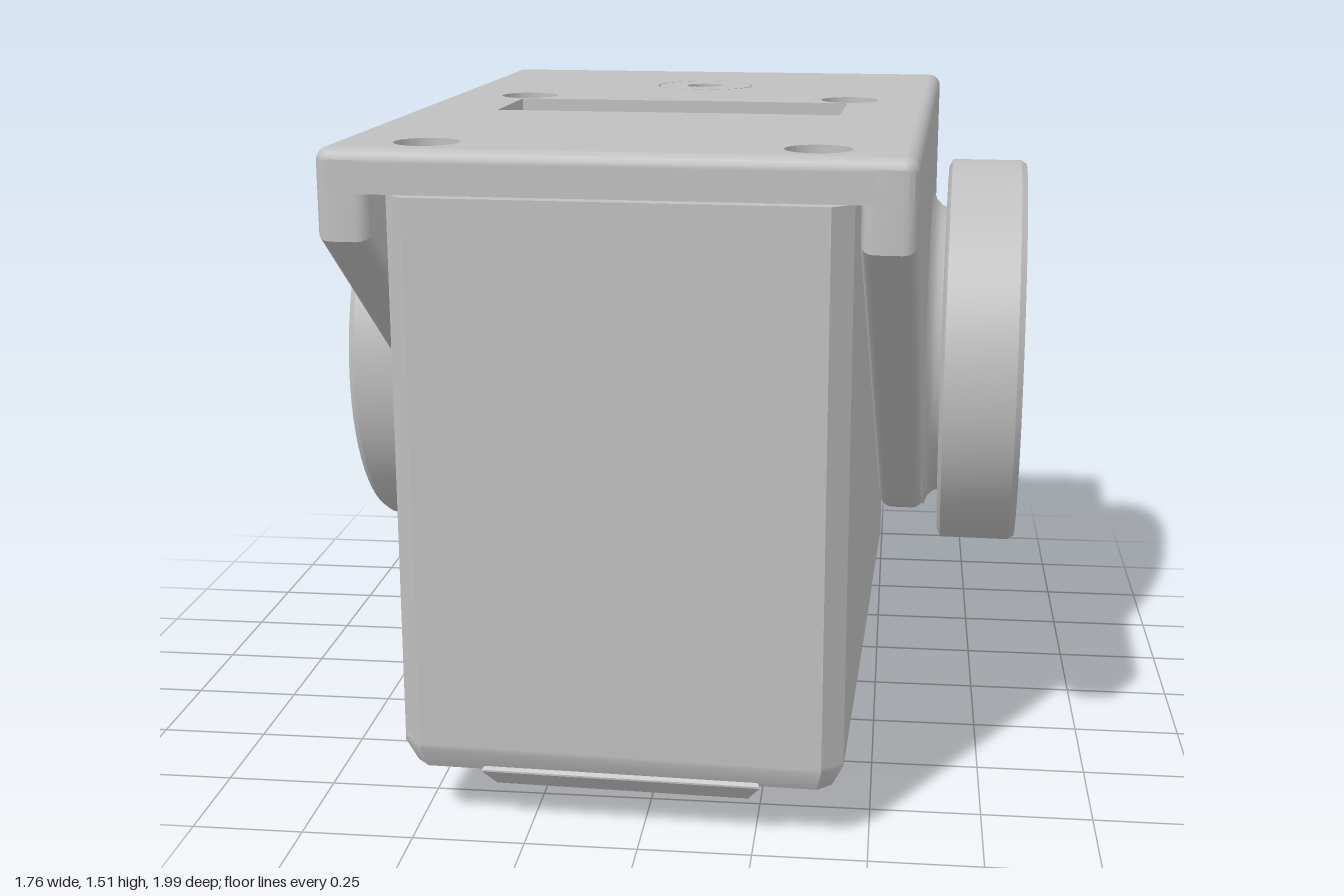
import * as THREE from 'three';
import { toCreasedNormals } from 'three/addons/utils/BufferGeometryUtils.js';

const grey = new THREE.MeshStandardMaterial({ color: 0xbfbfbf });
grey.name = 'light grey';

const AXLE_Y = 0.81;

export function createModel() {
  const model = new THREE.Group();
  model.name = 'servoBracket';
  const joint = new THREE.Group(); // origin on the vertical pivot
  joint.name = 'joint';
  joint.position.z = -0.455;
  joint.rotation.y = -0.035;
  model.add(joint);

  const add = (name, geometry, x = 0, y = 0, z = 0) => {
    const mesh = new THREE.Mesh(geometry, grey);
    mesh.name = name;
    mesh.position.set(x, y, z);
    joint.add(mesh);
    return mesh;
  };
  const circle = (x, y, r) => new THREE.Path().absarc(x, y, r, 0, Math.PI * 2, false);
  const disc = (r) => new THREE.Shape().absarc(0, 0, r, 0, Math.PI * 2, false);
  const polygon = (pts, Type = THREE.Shape) => new Type(pts.map(([x, y]) => new THREE.Vector2(x, y)));
  const rect = (x, z0, z1, Type) => polygon([[-x, z0], [x, z0], [x, z1], [-x, z1]], Type);
  const withHoles = (shape, holes) => { shape.holes.push(...holes); return shape; };
  const extrude = (shape, thickness, bevel = 0, bevelDepth = bevel) => {
    const g = new THREE.ExtrudeGeometry(shape, {
      depth: thickness - 2 * bevelDepth, curveSegments: 40, bevelEnabled: bevel > 0,
      bevelSize: bevel, bevelOffset: -bevel, bevelThickness: bevelDepth, bevelSegments: bevel === 0.03 ? 4 : 1,
    });
    g.translate(0, 0, bevelDepth);
    return g;
  };
  // horizontal slab, outline in (x, z)
  const slab = (name, shape, top, bottom, bevel, bevelDepth) =>
    add(name, toCreasedNormals(extrude(shape, top - bottom, bevel, bevelDepth).rotateX(Math.PI / 2), 0.5), 0, top);
  // upright plate, outline in (z, y), running from outer x towards -x
  const plate = (name, shape, x, y, thickness, bevel) =>
    add(name, toCreasedNormals(extrude(shape, thickness, bevel).rotateY(-Math.PI / 2), 0.5), x, y);

  // top plate in layers: slot, four counterbored screw holes, pivot hole
  const screws = [[-0.41, 0.33], [0.41, 0.33], [-0.41, 1.31], [0.41, 1.31]];
  const topHoles = (screwR, pivotR) => [
    rect(0.41, 0.41, 0.68, THREE.Path), circle(0, 0, pivotR),
    ...screws.map(([x, z]) => circle(x, z, screwR)),
  ];
  const outline = new THREE.Shape();
  outline.absarc(0.59, 1.4, 0.03, 0, Math.PI / 2);
  outline.absarc(-0.59, 1.4, 0.03, Math.PI / 2, Math.PI);
  outline.absarc(-0.59, -0.41, 0.03, Math.PI, Math.PI * 1.5);
  outline.absarc(0.59, -0.41, 0.03, Math.PI * 1.5, Math.PI * 2);
  slab('topSkin', withHoles(rect(0.59, -0.41, 1.4), topHoles(0.07, 0.127)), 1.515, 1.485);
  slab('topPlateUpper', withHoles(outline.clone(), topHoles(0.07, 0.127)), 1.485, 1.465);
  slab('topPlateLower', withHoles(outline.clone(), topHoles(0.04, 0.047)), 1.465, 1.42);
  slab('pivotCap', withHoles(disc(0.122), [circle(0, 0, 0.047)]), 1.515, 1.46);
  for (const [x, z] of screws) {
    const collar = withHoles(disc(0.05), [circle(0, 0, 0.036)]);
    slab('screwCollar', collar, 1.495, 1.44).position.set(x, 1.495, z);
  }

  // rounded top edges
  const rod = (length) => new THREE.CylinderGeometry(0.03, 0.03, length, 20, 1, true);
  for (const z of [-0.41, 1.4]) {
    add('topEdge', rod(1.18).rotateZ(Math.PI / 2), 0, 1.485, z);
    for (const x of [-0.59, 0.59]) add('topCorner', new THREE.SphereGeometry(0.03, 20, 12), x, 1.485, z);
  }
  for (const x of [-0.59, 0.59]) add('topEdge', rod(1.81).rotateX(Math.PI / 2), x, 1.485, 0.495);

  // side arms, sloping down to a round end about the axle
  const arm = (holeR) => {
    const s = new THREE.Shape();
    s.moveTo(-0.44, 1.49);
    s.lineTo(1.43, 1.49);
    s.lineTo(1.43, 1.32);
    s.absarc(0, AXLE_Y, 0.44, -0.932, -Math.PI, true);
    s.closePath();
    return withHoles(s, [circle(0, AXLE_Y, holeR)]);
  };
  plate('leftArm', arm(0.27), 0.62, 0, 0.115, 0.03);
  plate('rightArm', arm(0.33), -0.505, 0, 0.115, 0.03);

  // wheels, profile (radius, distance from the middle)
  const rim = [
    [0.40, 0.515], [0.40, 0.6], [0.43, 0.62], [0.405, 0.63], [0.39, 0.645], [0.385, 0.66],
    [0.495, 0.66], [0.515, 0.67], [0.515, 0.85], [0.505, 0.865], [0.46, 0.865], [0.45, 0.84], [0.42, 0.84],
  ];
  const wheel = (name, inside, side) => {
    const r = inside[inside.length - 1][0];
    const pts = [[r, 0.515], ...rim, ...inside].map(([a, b]) => new THREE.Vector2(a, b));
    const g = new THREE.LatheGeometry(pts, 72).rotateZ(-side * Math.PI / 2);
    add(name, toCreasedNormals(g, 0.5), 0, AXLE_Y, 0);
  };
  wheel('bearingWheel', [[0.40, 0.86], [0.345, 0.86], [0.34, 0.83], [0.28, 0.83], [0.26, 0.81], [0.26, 0.515]], 1);
  wheel('drivenWheel', [[0.41, 0.855], [0.37, 0.855], [0.34, 0.83], [0.335, 0.515]], -1);

  // drive horn inside the driven wheel
  const ringHoles = (R, r) => [0, 1, 2, 3].map((i) =>
    circle(R * Math.cos(i * Math.PI / 2), R * Math.sin(i * Math.PI / 2), r));
  plate('driveHorn', withHoles(disc(0.34), [circle(0, 0, 0.11), ...ringHoles(0.25, 0.075)]), -0.51, AXLE_Y, 0.305);

  // servo body with chamfered uprights and a recess under the slot
  const body = () => polygon([
    [-0.38, -0.39], [0.38, -0.39], [0.49, -0.26], [0.49, 1.355], [0.445, 1.4],
    [-0.445, 1.4], [-0.49, 1.355], [-0.49, -0.26],
  ]);
  slab('servoBody', body(), 1.33, 0.19);
  slab('servoTop', withHoles(body(), [rect(0.39, 0.43, 0.66, THREE.Path)]), 1.41, 1.33);
  for (const s of [-1, 1]) {
    add('spacer', new THREE.BoxGeometry(0.09, 0.03, 1.5), s * 0.44, 1.415, 0.6);
    add('slotTab', new THREE.BoxGeometry(0.14, 0.12, 0.04), s * 0.34, 1.42, 0.43);
  }

  // bottom cover with screw holes and a raised rail
  const coverHoles = [-0.38, 0.38].flatMap((x) => [0.45, 1.25].map((z) => circle(x, z, 0.03)));
  const cover = polygon([
    [-0.49, 0.22], [0.49, 0.22], [0.49, 1.355], [0.445, 1.4], [-0.445, 1.4], [-0.49, 1.355],
  ]);
  slab('bottomCover', withHoles(cover, coverHoles), 0.25, 0.13, 0.025, 0.05);
  slab('bottomRail', rect(0.31, 0.35, 1.385), 0.17, 0.09, 0.028, 0.038);

  // mounting flange
  add('neck', new THREE.CylinderGeometry(0.21, 0.21, 0.11, 48), 0, 0.145, 0);
  slab('mountingFlange', withHoles(disc(0.383), ringHoles(0.28, 0.042)), 0.1, 0);

  return model;
}
